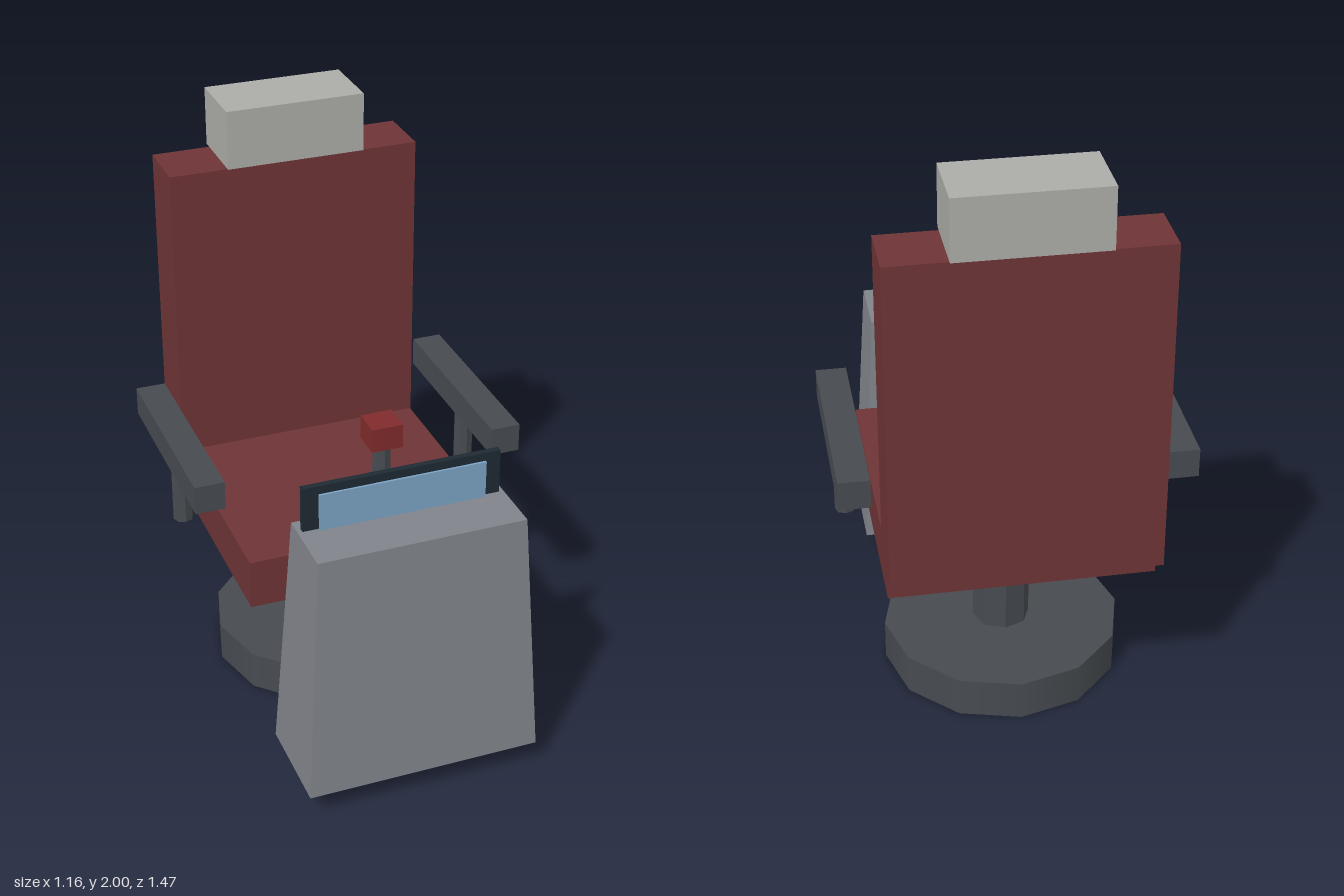
import * as THREE from 'three';

const paint = (name, color) => {
  const m = new THREE.MeshStandardMaterial({ color });
  m.name = name;
  return m;
};

export function createModel() {
  const model = new THREE.Group();
  model.name = 'consoleChair';

  const upholstery = paint('dark red upholstery', 0x6e3436);
  const darkMetal = paint('dark grey metal', 0x474b50);
  const casing = paint('grey casing', 0x80838a);
  const cushion = paint('pale grey cushion', 0xacada8);
  const bezel = paint('navy bezel', 0x1f2a33);
  const glass = paint('blue screen', 0x7ba2c4);
  const knobRed = paint('knob red', 0x802b2b);

  const add = (name, geometry, material, x, y, z) => {
    const mesh = new THREE.Mesh(geometry, material);
    mesh.name = name;
    mesh.position.set(x, y, z);
    model.add(mesh);
    return mesh;
  };
  // Box given by its extents on each axis
  const box = (name, material, [x0, x1], [y0, y1], [z0, z1]) =>
    add(name, new THREE.BoxGeometry(x1 - x0, y1 - y0, z1 - z0), material,
      (x0 + x1) / 2, (y0 + y1) / 2, (z0 + z1) / 2);
  // Upright eight-sided post with flat faces
  const post = (name, r, x, [y0, y1], z) => {
    const g = new THREE.CylinderGeometry(r, r, y1 - y0, 8).toNonIndexed();
    g.computeVertexNormals();
    return add(name, g, darkMetal, x, (y0 + y1) / 2, z);
  };

  // Pedestal
  add('pedestalBase', new THREE.CylinderGeometry(0.41, 0.41, 0.14, 12), darkMetal, 0, 0.07, -0.22);
  post('pedestalColumn', 0.098, 0, [0.14, 0.56], -0.22);

  // Seat, backrest and headrest
  box('seat', upholstery, [-0.44, 0.44], [0.55, 0.727], [-0.625, 0.257]);
  box('backrest', upholstery, [-0.442, 0.442], [0.64, 1.79], [-0.717, -0.507]);
  box('headrest', cushion, [-0.243, 0.243], [1.795, 2.0], [-0.735, -0.49]);

  // Armrests on posts
  for (const [side, s] of [['left', 1], ['right', -1]]) {
    const arm = box(side + 'Armrest', darkMetal, [0.478, 0.582], [0.875, 0.976], [-0.578, 0.13]);
    arm.position.x *= s;
    post(side + 'ArmrestPost', 0.035, s * 0.53, [0.64, 0.88], -0.22);
  }

  // Tapered console
  const console = new THREE.BoxGeometry(0.81, 0.88, 0.352);
  const p = console.attributes.position;
  for (let i = 0; i < p.count; i++) {
    if (p.getY(i) > 0) {
      p.setX(i, p.getX(i) * 0.875);
      p.setZ(i, p.getZ(i) * 0.705);
    }
  }
  console.computeVertexNormals();
  add('console', console, casing, 0, 0.535, 0.556);

  // Screen standing on the console
  box('screenFrame', bezel, [-0.338, 0.338], [0.9, 1.133], [0.475, 0.496]);
  box('screenPanel', glass, [-0.285, 0.285], [0.93, 1.106], [0.5, 0.508]);

  // Control lever
  post('leverRod', 0.032, 0, [0.8, 1.13], 0.312);
  box('leverKnob', knobRed, [-0.053, 0.053], [1.13, 1.213], [0.26, 0.364]);

  return model;
}
